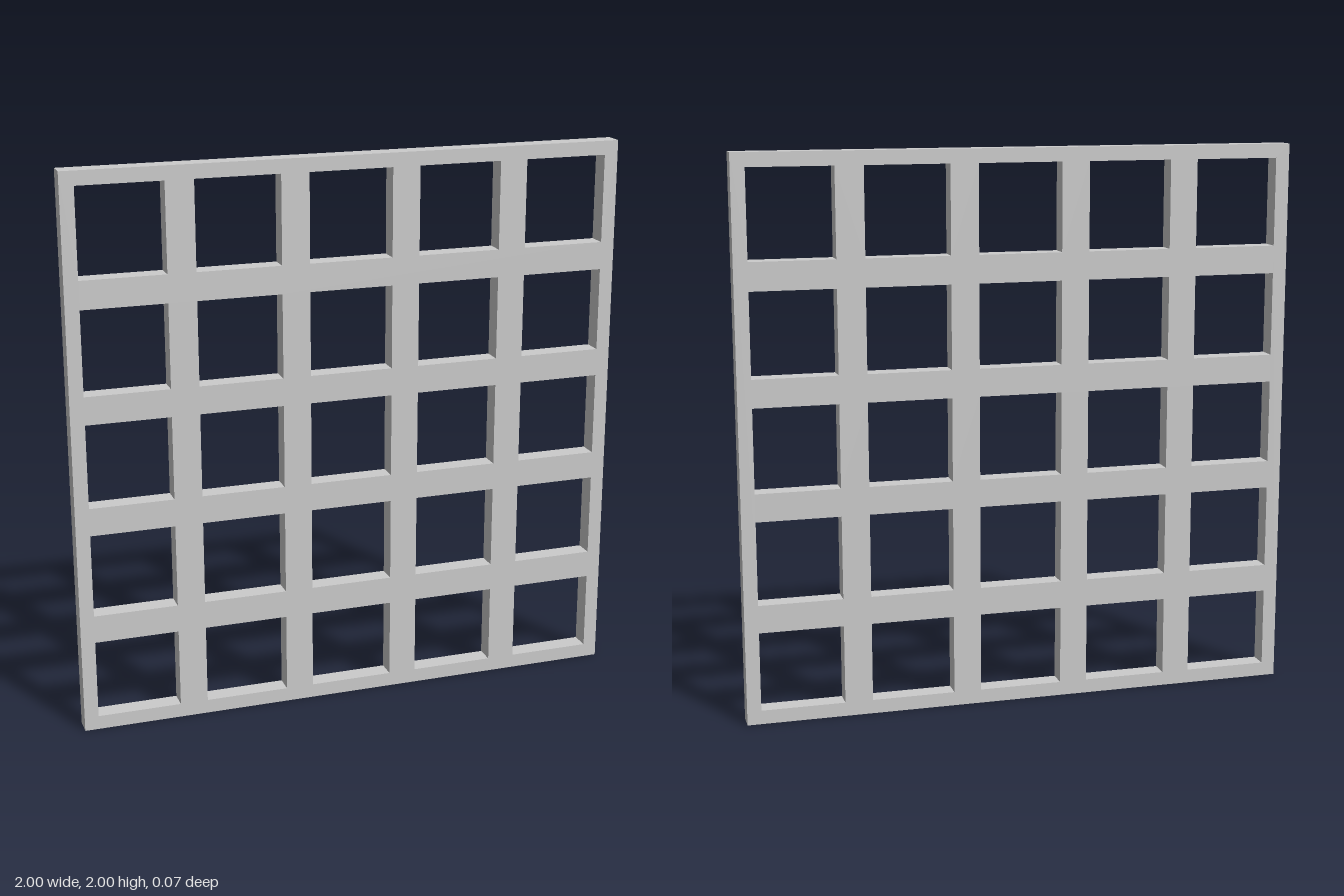
import * as THREE from 'three';

const THICKNESS = 0.07;

// Rectangle outline from two opposite corners
function trace(path, x0, y0, x1, y1) {
  path.moveTo(x0, y0);
  path.lineTo(x1, y0);
  path.lineTo(x1, y1);
  path.lineTo(x0, y1);
  path.closePath();
  return path;
}

export function createModel() {
  const group = new THREE.Group();
  group.name = 'gridPanel';

  // Square panel with five by five openings
  const panel = trace(new THREE.Shape(), -1, 0, 1, 2);
  const columns = [-0.8, -0.4, 0, 0.4, 0.8].map((x) => [x - 0.15, x + 0.15]);
  const rows = [[0.05, 0.335], [0.435, 0.735], [0.835, 1.135], [1.235, 1.535], [1.635, 1.95]];
  for (const [x0, x1] of columns) {
    for (const [y0, y1] of rows) {
      panel.holes.push(trace(new THREE.Path(), x0, y0, x1, y1));
    }
  }

  const geometry = new THREE.ExtrudeGeometry(panel, { depth: THICKNESS, bevelEnabled: false });
  geometry.translate(0, 0, -THICKNESS / 2);

  const lattice = new THREE.Mesh(geometry, new THREE.MeshStandardMaterial({ color: 0xcccccc }));
  lattice.name = 'lattice';
  group.add(lattice);
  return group;
}
